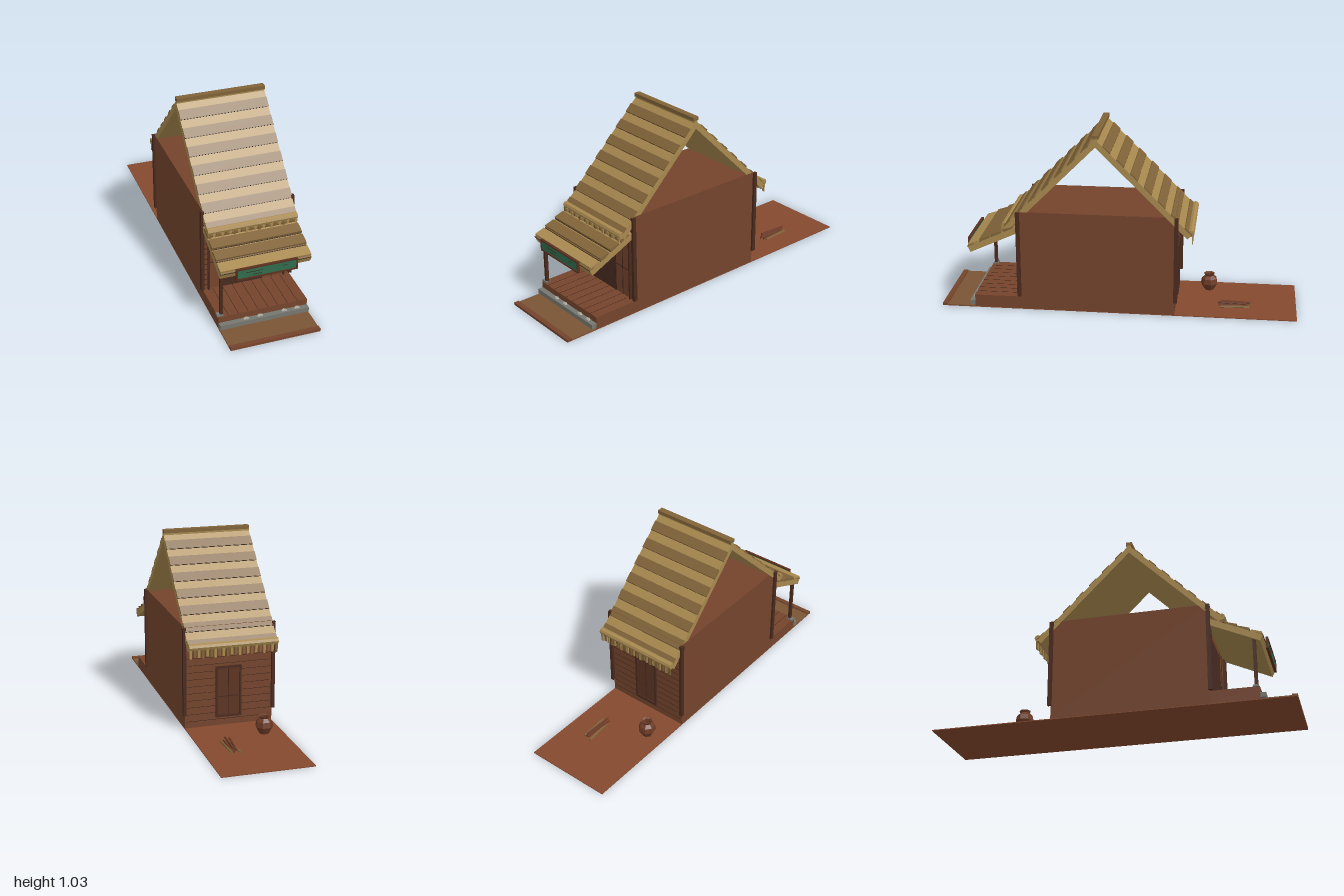
import * as THREE from 'three';

const mat = (color) => new THREE.MeshStandardMaterial({ color, flatShading: true, side: THREE.DoubleSide });
const M = {
  earth: mat(0x85492f), path: mat(0x7a5535), wall: mat(0x74442c), plank: mat(0x6a3b26),
  dark: mat(0x4a2a1e), door: mat(0x482b20), line: mat(0x3a2218), light: mat(0xa8894f),
  straw: mat(0x806338), stone: mat(0x777770), paleStone: mat(0xa3a096), green: mat(0x2f6b4a),
  frame: mat(0x5a3020), pot: mat(0x6b3a26), glass: mat(0x5c3422),
};

// Box given by its min and max on each axis
function box(parent, name, material, [x0, x1], [y0, y1], [z0, z1]) {
  const mesh = new THREE.Mesh(new THREE.BoxGeometry(x1 - x0, y1 - y0, z1 - z0), material);
  mesh.position.set((x0 + x1) / 2, (y0 + y1) / 2, (z0 + z1) / 2);
  mesh.name = name;
  parent.add(mesh);
  return mesh;
}

// Thatched slope: local z runs down the slope, local y points outward
function slope(name, length, thickness, courses, angle, y, z, back) {
  const pivot = new THREE.Group();
  pivot.name = name;
  pivot.position.set(0, y, z);
  if (back) pivot.rotation.y = Math.PI;
  const plane = new THREE.Group();
  plane.rotation.x = angle;
  pivot.add(plane);
  box(plane, 'roofDeck', M.light, [-0.25, 0.25], [-thickness, 0], [0, length]);
  const step = length / courses;
  for (let i = 0; i < courses; i++) {
    const z0 = i * step;
    box(plane, 'thatchCourse', M.straw, [-0.25, 0.25], [-0.003, 0.006], [z0 + step * 0.48, z0 + step]);
    box(plane, 'courseShadow', M.line, [-0.25, 0.25], [0, 0.0035], [z0 + step, z0 + step + 0.002]);
  }
  return pivot;
}

// Row of hanging straw tufts under an eave
function fringe(parent, y0, y1, z, count) {
  for (let i = 0; i < count; i++) {
    const x = -0.24 + (0.48 * i) / (count - 1);
    const drop = y0 + 0.008 * ((i * 7) % 3) / 2;
    box(parent, 'strawTuft', i % 2 ? M.light : M.straw, [x - 0.007, x + 0.007], [drop, y1], [z - 0.003, z + 0.003]);
  }
}

export function createModel() {
  const g = new THREE.Group();
  g.name = 'hut';

  // Ground and front path
  box(g, 'ground', M.earth, [-0.25, 0.25], [0, 0.005], [-1, 1]);
  box(g, 'path', M.path, [-0.25, 0.25], [0.004, 0.008], [0.8, 0.975]);
  box(g, 'pathEdge', M.wall, [-0.25, 0.25], [0.002, 0.015], [0.972, 1]);

  // House body and porch deck
  box(g, 'houseBody', M.wall, [-0.25, 0.25], [0.004, 0.58], [-0.32, 0.55]);
  box(g, 'porchDeck', M.wall, [-0.25, 0.25], [0.004, 0.075], [0.55, 0.81]);
  for (let i = 1; i < 9; i++) {
    const x = -0.25 + i * 0.0556;
    box(g, 'deckSeam', M.line, [x - 0.001, x + 0.001], [0.075, 0.076], [0.555, 0.81]);
  }
  box(g, 'stoneStep', M.stone, [-0.25, 0.25], [0.014, 0.04], [0.8, 0.84]);
  for (const x of [-0.1, -0.022, 0.115, 0.188]) {
    const pebble = new THREE.Mesh(new THREE.IcosahedronGeometry(0.016, 0), M.paleStone);
    pebble.name = 'stepPebble';
    pebble.scale.set(1.2, 0.65, 0.8);
    pebble.position.set(x, 0.041, 0.821);
    g.add(pebble);
  }

  // Corner posts
  for (const s of [-1, 1]) {
    for (const z of [0.553, -0.325]) {
      const x = s * 0.253;
      box(g, 'cornerPost', M.dark, [x - 0.009, x + 0.009], [0.08, 0.578], [z - 0.011, z + 0.011]);
    }
  }

  // Front wall: doorway, plank seams and side frames with slats
  box(g, 'doorway', M.door, [-0.155, 0.09], [0.075, 0.42], [0.54, 0.553]);
  for (const x of [-0.155, 0.09, 0.15]) {
    box(g, 'wallSeam', M.line, [x - 0.001, x + 0.001], [0.075, 0.45], [0.549, 0.554]);
  }
  for (const [a, b] of [[-0.21, -0.158], [0.093, 0.21]]) {
    box(g, 'wallRail', M.line, [a, b], [0.243, 0.246], [0.549, 0.553]);
  }
  for (const s of [-1, 1]) {
    const x = s * 0.217;
    box(g, 'sideFrame', M.dark, [x - 0.005, x + 0.005], [0.075, 0.46], [0.548, 0.562]);
    for (let i = 0; i < 9; i++) {
      const a = s > 0 ? 0.222 : -0.244, y = 0.105 + i * 0.033;
      box(g, 'sideSlat', M.dark, [a, a + 0.022], [y, y + 0.003], [0.549, 0.556]);
    }
  }

  // Back wall: plank seams and framed window
  for (let i = 1; i < 13; i++) {
    box(g, 'backSeam', M.line, [-0.24, 0.24], [i * 0.04, i * 0.04 + 0.002], [-0.3215, -0.319]);
  }
  box(g, 'windowPane', M.glass, [-0.065, 0.07], [0.06, 0.34], [-0.324, -0.319]);
  for (const x of [-0.065, 0.07]) box(g, 'windowFrame', M.dark, [x - 0.006, x + 0.006], [0.055, 0.345], [-0.331, -0.32]);
  for (const y of [0.06, 0.34]) box(g, 'windowFrame', M.dark, [-0.07, 0.075], [y - 0.006, y + 0.006], [-0.331, -0.32]);
  box(g, 'windowBar', M.dark, [0, 0.005], [0.06, 0.34], [-0.328, -0.32]);
  box(g, 'windowBar', M.dark, [-0.065, 0.07], [0.17, 0.175], [-0.328, -0.32]);

  // Main roof, open at the gables
  g.add(slope('frontRoof', 0.725, 0.032, 7, Math.PI / 4, 1.005, 0.12, false));
  g.add(slope('backRoof', 0.74, 0.032, 7, Math.PI / 4, 1.005, 0.115, true));
  box(g, 'ridgeCap', M.straw, [-0.25, 0.25], [1.008, 1.028], [0.1, 0.135]);
  box(g, 'ridgeBase', M.light, [-0.25, 0.25], [0.985, 1.01], [0.107, 0.128]);
  for (const [y, z] of [[0.497, 0.627], [0.492, -0.405]]) {
    const roll = new THREE.Mesh(new THREE.CylinderGeometry(0.019, 0.019, 0.5, 8), M.light);
    roll.name = 'eaveRoll';
    roll.rotation.z = Math.PI / 2;
    roll.position.set(0, y, z);
    g.add(roll);
  }
  fringe(g, 0.462, 0.486, 0.642, 22);
  fringe(g, 0.43, 0.49, -0.413, 22);

  // Porch roof with stepped thatch bundles, and its single post
  const porch = slope('porchRoof', 0.305, 0.035, 4, 0.43, 0.492, 0.562, false);
  for (let i = 0; i < 4; i++) {
    const b = box(porch.children[0], 'thatchBundle', i === 3 ? M.light : M.straw,
      [-0.25, 0.25], [0, 0.013], [0.02 + i * 0.072, 0.08 + i * 0.072]);
    b.rotation.x = -0.12;
  }
  g.add(porch);
  box(g, 'porchPost', M.dark, [-0.238, -0.222], [0.08, 0.37], [0.782, 0.8]);
  box(g, 'postStone', M.stone, [-0.256, -0.222], [0.073, 0.085], [0.775, 0.805]);

  // Hanging board with weathering cracks
  const board = new THREE.Group();
  board.name = 'hangingBoard';
  box(board, 'boardPanel', M.green, [-0.165, 0.16], [0.33, 0.382], [0.846, 0.854]);
  for (const y of [0.327, 0.385]) box(board, 'boardFrame', M.frame, [-0.171, 0.167], [y - 0.004, y + 0.004], [0.844, 0.858]);
  for (const x of [-0.167, 0.163]) box(board, 'boardFrame', M.frame, [x - 0.004, x + 0.004], [0.325, 0.387], [0.844, 0.858]);
  for (const [a, b, y] of [[-0.115, -0.025, 0.36], [-0.08, -0.03, 0.342], [0.085, 0.11, 0.36]]) {
    box(board, 'boardCrack', M.line, [a, b], [y, y + 0.002], [0.853, 0.856]);
  }
  g.add(board);

  // Clay pot
  const profile = [[0.001, 0.005], [0.028, 0.005], [0.05, 0.045], [0.044, 0.075], [0.026, 0.092], [0.032, 0.105], [0.022, 0.1], [0.02, 0.06], [0.001, 0.05]];
  const pot = new THREE.Mesh(new THREE.LatheGeometry(profile.map(([r, y]) => new THREE.Vector2(r, y)), 7), M.pot);
  pot.name = 'pot';
  pot.position.set(-0.145, 0, -0.5);
  g.add(pot);

  // Pile of firewood
  for (let i = 0; i < 6; i++) {
    const stick = new THREE.Mesh(new THREE.CylinderGeometry(0.006, 0.007, 0.165, 5), i % 3 ? M.pot : M.straw);
    stick.name = 'firewood';
    stick.rotation.set(Math.PI / 2, 0, ((i * 5) % 7 - 3) * 0.03);
    stick.position.set(0.075 + (i % 4) * 0.014 + (i > 3 ? 0.007 : 0), i > 3 ? 0.028 : 0.013, -0.65 + ((i * 3) % 4 - 1.5) * 0.006);
    g.add(stick);
  }
  return g;
}
